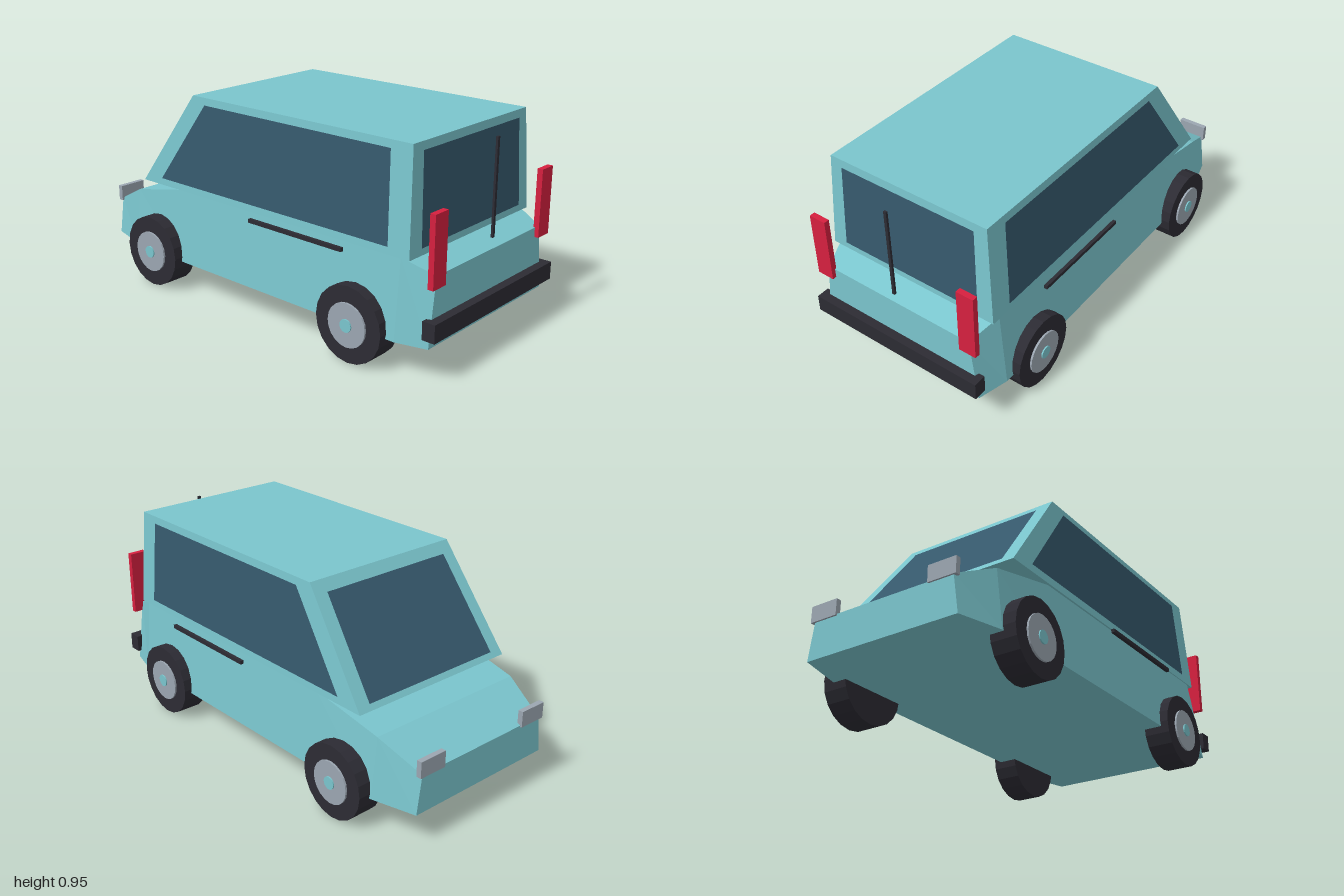
import * as THREE from 'three';

const mat = (name, color) => {
  const m = new THREE.MeshStandardMaterial({ color });
  m.name = name;
  return m;
};

// Skin a list of four-cornered sections and close both ends
function loft(sections) {
  const p = [];
  const quad = (a, b, c, d) => p.push(...a, ...b, ...c, ...a, ...c, ...d);
  for (let s = 0; s < sections.length - 1; s++) {
    const a = sections[s], b = sections[s + 1];
    for (let i = 0; i < 4; i++) {
      const j = (i + 1) % 4;
      quad(a[i], a[j], b[j], b[i]);
    }
  }
  const f = sections[0], l = sections[sections.length - 1];
  quad(f[3], f[2], f[1], f[0]);
  quad(l[0], l[1], l[2], l[3]);
  return fromPoints(p);
}

function fromPoints(p) {
  const g = new THREE.BufferGeometry();
  g.setAttribute('position', new THREE.Float32BufferAttribute(p, 3));
  g.computeVertexNormals();
  return g;
}

// Flat pane from four counter-clockwise corners
const pane = (a, b, c, d) => fromPoints([...a, ...b, ...c, ...a, ...c, ...d]);

export function createModel() {
  const car = new THREE.Group();
  car.name = 'van';
  const paint = mat('teal paint', 0x7ac5cd);
  const glass = mat('dark blue glass', 0x36596d);
  const black = mat('black rubber', 0x2c2b33);
  const red = mat('red lamp', 0xd6203f);
  const silver = mat('silver', 0x9ba6b1);

  const add = (name, geometry, material, parent = car) => {
    const m = new THREE.Mesh(geometry, material);
    m.name = name;
    parent.add(m);
    return m;
  };
  const box = (name, material, x0, x1, y0, y1, z0, z1) => {
    const m = add(name, new THREE.BoxGeometry(x1 - x0, y1 - y0, z1 - z0), material);
    m.position.set((x0 + x1) / 2, (y0 + y1) / 2, (z0 + z1) / 2);
  };

  // Lower body: z, half width at the bottom, half width at the top, top height
  const stations = [
    [-0.992, 0.38, 0.355, 0.325],
    [-0.79, 0.435, 0.405, 0.425],
    [-0.44, 0.45, 0.42, 0.5],
    [0.82, 0.457, 0.425, 0.5],
    [0.96, 0.42, 0.38, 0.447],
  ];
  add('lowerBody', loft(stations.map(([z, b, t, y]) =>
    [[-b, 0.15, z], [b, 0.15, z], [t, y, z], [-t, y, z]])), paint);

  // Cabin: tapered box with a raked windscreen end
  const ring = (y, w, back, front) =>
    [[-w, y, back], [w, y, back], [w, y, front], [-w, y, front]];
  add('cabin', loft([ring(0.497, 0.43, 0.865, -0.715), ring(0.953, 0.4, 0.847, -0.38)]), paint);

  // Windows, just proud of the cabin faces
  const up = (y) => (y - 0.497) / 0.456;
  const sideX = (y) => 0.43 - 0.03 * up(y) + 0.004;
  const backZ = (y) => 0.865 - 0.018 * up(y) + 0.004;
  const screenZ = (y) => -0.715 + 0.335 * up(y) - 0.005;
  const corners = [[0.76, 0.53], [-0.585, 0.53], [-0.3, 0.92], [0.745, 0.92]];
  for (const s of [1, -1]) {
    const pts = corners.map(([z, y]) => [s * sideX(y), y, z]);
    if (s < 0) pts.reverse();
    add(s > 0 ? 'leftWindow' : 'rightWindow', pane(...pts), glass);
  }
  add('rearWindow', pane(
    [-0.355, 0.528, backZ(0.528)], [0.355, 0.528, backZ(0.528)],
    [0.34, 0.918, backZ(0.918)], [-0.34, 0.918, backZ(0.918)]), glass);
  add('windscreen', pane(
    [0.365, 0.522, screenZ(0.522)], [-0.365, 0.522, screenZ(0.522)],
    [-0.34, 0.908, screenZ(0.908)], [0.34, 0.908, screenZ(0.908)]), glass);

  // Bumper and wiper
  box('bumper', black, -0.437, 0.437, 0.192, 0.272, 0.94, 1);
  box('wiper', black, -0.007, 0.007, 0.5, 0.925, 0.958, 0.968);

  // Lamps, side rails and wheels on both sides
  for (const s of [1, -1]) {
    const side = s > 0 ? 'left' : 'right';
    const pair = (name, m, a, b, ...rest) =>
      box(side + name, m, Math.min(s * a, s * b), Math.max(s * a, s * b), ...rest);
    pair('TailLamp', red, 0.345, 0.428, 0.404, 0.712, 0.953, 0.979);
    pair('HeadLamp', silver, 0.235, 0.372, 0.318, 0.392, -1, -0.976);
    pair('SideRail', black, 0.447, 0.463, 0.461, 0.478, 0.02, 0.547);

    for (const z of [0.61, -0.615]) {
      const wheel = new THREE.Group();
      wheel.name = side + (z > 0 ? 'RearWheel' : 'FrontWheel');
      wheel.position.set(0, 0.171, z);
      car.add(wheel);
      const disc = (name, m, r, x0, x1) => {
        const g = new THREE.CylinderGeometry(r, r, x1 - x0, 20).toNonIndexed();
        g.computeVertexNormals();
        g.rotateZ(Math.PI / 2);
        add(name, g, m, wheel).position.x = s * (x0 + x1) / 2;
      };
      disc('tyre', black, 0.17, 0.37, 0.491);
      disc('rim', silver, 0.098, 0.45, 0.5);
      disc('hubCap', paint, 0.029, 0.46, 0.506);
    }
  }
  return car;
}
